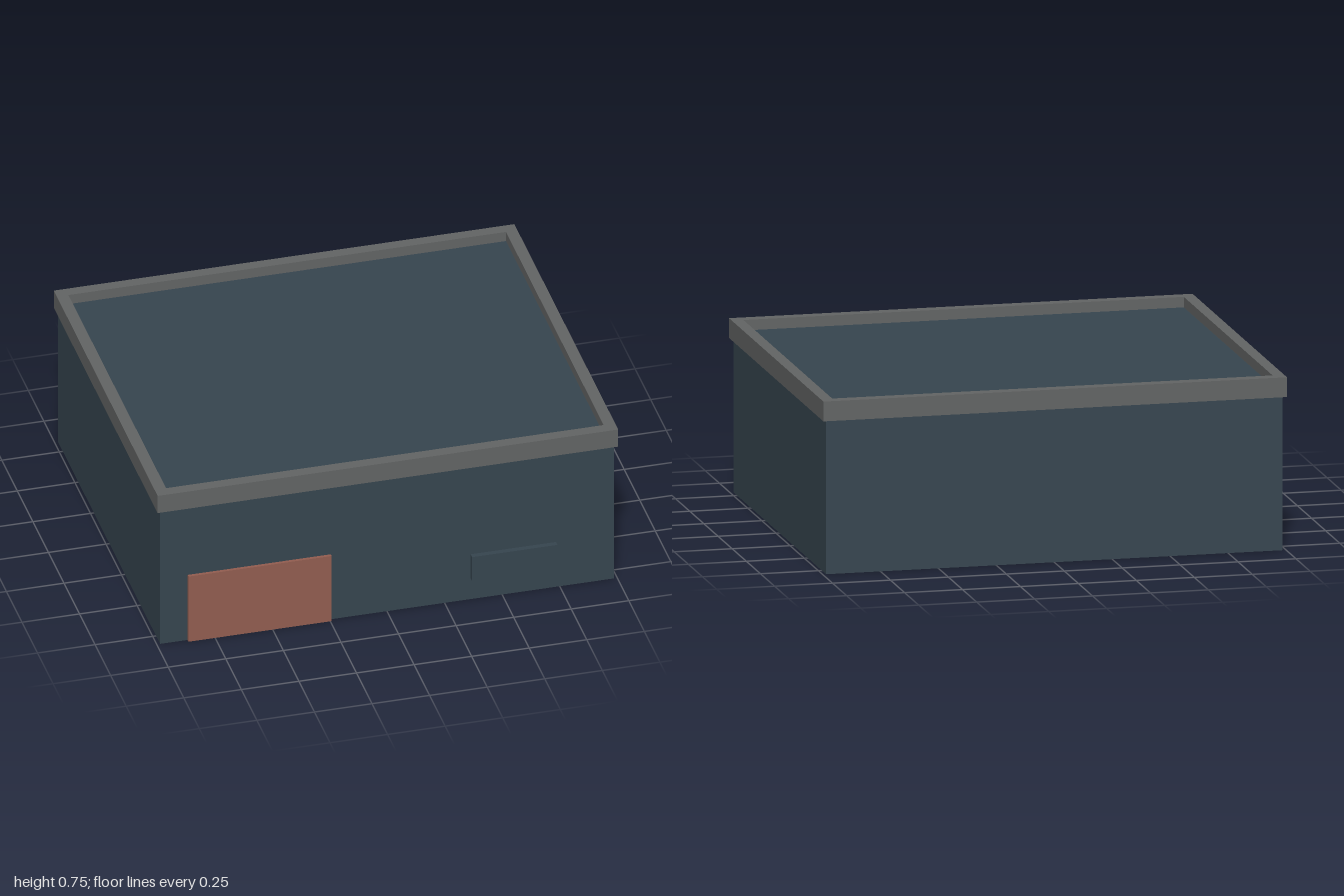
import * as THREE from 'three';

const CZ = -0.005; // building centre in z

export function createModel() {
  const wallMat = new THREE.MeshStandardMaterial({ color: 0x36454f, side: THREE.DoubleSide });
  wallMat.name = 'slate wall';
  const trimMat = new THREE.MeshStandardMaterial({ color: 0x626464 });
  trimMat.name = 'grey trim';
  const doorMat = new THREE.MeshStandardMaterial({ color: 0x925d50 });
  doorMat.name = 'rust door';

  const model = new THREE.Group();
  model.name = 'building';
  const add = (name, geometry, material, parent = model) => {
    const mesh = new THREE.Mesh(geometry, material);
    mesh.name = name;
    parent.add(mesh);
    return mesh;
  };

  // Four single-sheet walls, open underneath
  const hx = 0.985, hz = 0.82, wallH = 0.67;
  const walls = new THREE.Group();
  walls.name = 'walls';
  walls.position.set(0, wallH / 2, CZ);
  model.add(walls);
  ['frontWall', 'leftWall', 'backWall', 'rightWall'].forEach((name, i) => {
    const side = i % 2 === 1;
    const wall = add(name, new THREE.PlaneGeometry(2 * (side ? hz : hx), wallH), wallMat, walls);
    wall.rotation.y = i * Math.PI / 2;
    wall.translateZ(side ? hx : hz);
  });

  // Parapet ring around the roof
  const rect = (Type, x, y) => {
    const p = new Type();
    p.moveTo(-x, -y).lineTo(x, -y).lineTo(x, y).lineTo(-x, y).closePath();
    return p;
  };
  const ring = rect(THREE.Shape, 1, 0.835);
  ring.holes.push(rect(THREE.Path, 0.95, 0.785));
  const parapet = add('parapet', new THREE.ExtrudeGeometry(ring, { depth: 0.085, bevelEnabled: false }), trimMat);
  parapet.rotation.x = -Math.PI / 2;
  parapet.position.set(0, 0.66, CZ);

  // Flat roof sunk inside the parapet
  const roof = add('roof', new THREE.PlaneGeometry(1.9, 1.57), wallMat);
  roof.rotation.x = -Math.PI / 2;
  roof.position.set(0, 0.7, CZ);

  // Loading door and sign board on the front wall
  const panel = (name, x0, x1, y0, y1, z1, material) => {
    const z0 = CZ + hz + 0.001;
    add(name, new THREE.BoxGeometry(x1 - x0, y1 - y0, z1 - z0), material)
      .position.set((x0 + x1) / 2, (y0 + y1) / 2, (z0 + z1) / 2);
  };
  panel('loadingDoor', -0.866, -0.244, 0, 0.323, 0.83, doorMat);
  panel('signBoard', 0.363, 0.733, 0.103, 0.223, 0.84, wallMat);

  return model;
}
